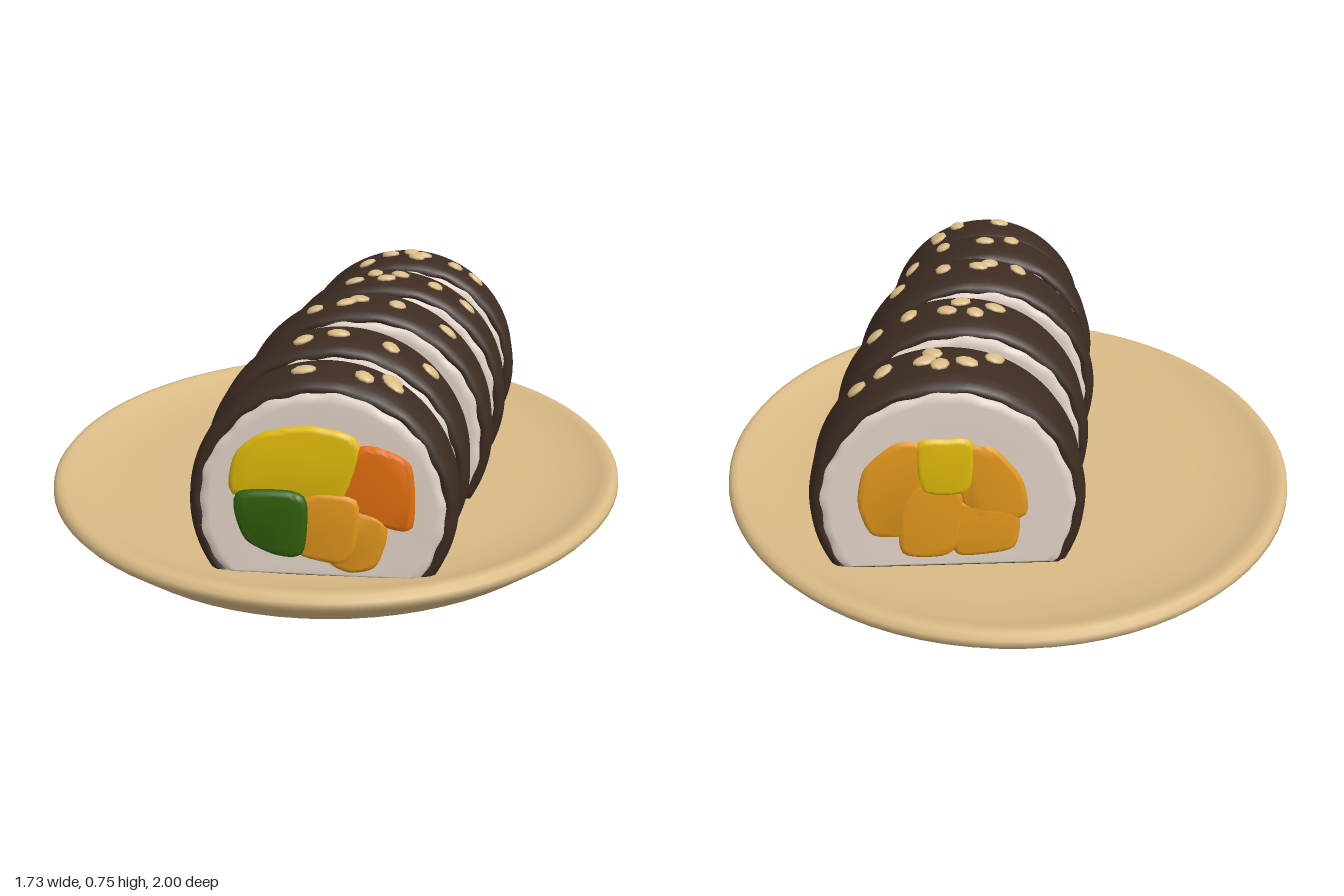
import * as THREE from 'three';
import { toCreasedNormals } from 'three/addons/utils/BufferGeometryUtils.js';

const mat = (name, color) => {
  const m = new THREE.MeshStandardMaterial({ color });
  m.name = name;
  return m;
};

const FLOOR = 0.172; // height of the plate's inner surface

// Flat-bottomed round cross-sections joined from +z to -z; each profile entry is [inset, z, wobble]
function loft(R, drop, profile, capped, phase) {
  const n = 120, pos = [], idx = [];
  for (const [inset, z, wobble = 0] of profile) {
    for (let j = 0; j < n; j++) {
      const a = (j / n) * Math.PI * 2;
      const w = wobble * (Math.sin(a * 9 + phase) + 0.7 * Math.sin(a * 23 + phase * 3));
      const r = R - inset + w;
      pos.push(r * Math.cos(a), Math.max(r * Math.sin(a), -drop + inset * 0.3), z);
    }
  }
  const rings = profile.length;
  for (let i = 0; i < rings - 1; i++) {
    for (let j = 0; j < n; j++) {
      const a = i * n + j, b = i * n + (j + 1) % n, c = a + n, d = b + n;
      idx.push(a, c, b, b, c, d);
    }
  }
  if (capped) {
    const front = pos.length / 3, back = front + 1, last = (rings - 1) * n;
    pos.push(0, 0.03, profile[0][1], 0, 0.03, profile[rings - 1][1]);
    for (let j = 0; j < n; j++) {
      const k = (j + 1) % n;
      idx.push(front, j, k, back, last + k, last + j);
    }
  }
  const g = new THREE.BufferGeometry();
  g.setAttribute('position', new THREE.Float32BufferAttribute(pos, 3));
  g.setIndex(idx);
  g.computeVertexNormals();
  return g;
}

const mirrored = (half) => [...half, ...half.slice().reverse().map(([d, z, w]) => [d, -z, w])];

// Soft-edged strip of filling running from z0 to z1
function strip(name, points, z0, z1, material) {
  const b = 0.014;
  const curve = new THREE.CatmullRomCurve3(
    points.map(([x, y]) => new THREE.Vector3(x, y, 0)), true, 'catmullrom', 0.35);
  const shape = new THREE.Shape(curve.getPoints(36).slice(0, -1).map((p) => new THREE.Vector2(p.x, p.y)));
  const g = new THREE.ExtrudeGeometry(shape, {
    depth: z1 - z0 - 2 * b, bevelEnabled: true, bevelSize: b, bevelThickness: b,
    bevelOffset: -b * 0.4, bevelSegments: 3, steps: 1
  });
  g.translate(0, 0, z0 + b);
  const mesh = new THREE.Mesh(toCreasedNormals(g, 0.8), material);
  mesh.name = name;
  return mesh;
}

// Filling outlines, relative to the roll centre: name, colour, bulge, points
const MIXED = [
  ['yellowFilling', 'yellow', 0.01, [[-0.215, 0.045], [-0.205, 0.14], [-0.14, 0.195], [-0.03, 0.215], [0.07, 0.195], [0.09, 0.15], [0.045, 0.03], [-0.07, 0.04]]],
  ['orangeFilling', 'orange', 0.008, [[0.03, 0.05], [0.09, 0.16], [0.14, 0.165], [0.215, 0.125], [0.22, -0.03], [0.14, -0.02]]],
  ['greenFilling', 'green', 0.03, [[-0.205, 0], [-0.195, 0.045], [-0.08, 0.05], [-0.04, 0.025], [-0.05, -0.1], [-0.11, -0.105], [-0.18, -0.07]]],
  ['lowerFilling', 'amber', 0.015, [[-0.065, 0.02], [0.0, 0.045], [0.085, 0.03], [0.085, -0.08], [0.05, -0.13], [-0.05, -0.11], [-0.07, -0.05]]],
  ['lowerSideFilling', 'amber', 0.01, [[0.075, 0.0], [0.15, -0.02], [0.155, -0.07], [0.13, -0.14], [0.07, -0.155], [0.02, -0.12]]]
];
const PLAIN = [
  ['yellowFilling', 'yellow', 0.008, [[-0.05, 0.06], [-0.06, 0.19], [0.0, 0.2], [0.07, 0.19], [0.06, 0.06]]],
  ['leftFilling', 'amber', 0.004, [[0.05, 0.02], [0.06, 0.18], [0.13, 0.19], [0.21, 0.12], [0.23, 0.02], [0.2, -0.07], [0.11, -0.07]]],
  ['rightFilling', 'amber', 0.004, [[-0.04, 0.03], [-0.05, 0.17], [-0.12, 0.17], [-0.19, 0.08], [-0.2, -0.02], [-0.1, -0.04]]],
  ['lowerFilling', 'amber', 0.006, [[-0.03, 0.05], [0.07, 0.07], [0.12, 0.0], [0.12, -0.13], [0.02, -0.14], [-0.02, -0.1]]],
  ['lowerSideFilling', 'amber', 0.004, [[-0.02, 0.01], [-0.1, 0.0], [-0.18, -0.02], [-0.17, -0.12], [-0.08, -0.14], [-0.02, -0.13]]]
];
// Wide outer piece, seen at the edges of the fourth roll
const WIDE = [[0.18, -0.04], [0.18, 0.15], [0.24, 0.165], [0.29, 0.08], [0.29, -0.02], [0.24, -0.06]];

// Centre x, centre z, radius, half depth, extra front bulge of fillings, seed positions [x, z]
const ROLLS = [
  [0.04, 0.715, 0.34, 0.108, 0, [[-0.01, 0.74], [0.14, 0.745], [0.205, 0.685], [0.21, 0.715]]],
  [0.05, 0.467, 0.358, 0.118, 0, [[-0.04, 0.51], [0.05, 0.48], [0.19, 0.5], [0.295, 0.48]]],
  [0.095, 0.17, 0.378, 0.13, 0.008, [[-0.045, 0.21], [0.045, 0.21], [0.08, 0.18], [0.19, 0.19], [0.335, 0.195]]],
  [0.145, -0.16, 0.374, 0.13, 0.008, [[0.04, -0.125], [0.1, -0.185], [0.14, -0.11], [0.18, -0.17], [0.29, -0.14], [0.39, -0.14]]],
  [0.187, -0.507, 0.37, 0.13, 0.006, [[0.055, -0.45], [0.13, -0.51], [0.2, -0.53], [0.24, -0.5], [0.22, -0.46], [0.35, -0.49], [0.42, -0.5]]]
];

export function createModel() {
  const mats = {
    plate: mat('plateTan', 0xdabb86),
    seaweed: mat('seaweedBrown', 0x3d2c22),
    rice: mat('riceWhite', 0xe6d7cb),
    seed: mat('seedBeige', 0xdcbe88),
    yellow: mat('yellow', 0xe2bc0a),
    orange: mat('orange', 0xe67010),
    green: mat('green', 0x325f0c),
    amber: mat('amber', 0xe4981c)
  };
  const model = new THREE.Group();
  model.name = 'rollPlatter';

  // Oval plate with a shallow dish
  const outline = [[0, 0], [0.54, 0], [0.552, 0.002], [0.87, 0.087], [0.89, 0.098], [0.985, 0.168],
    [1, 0.185], [0.998, 0.2], [0.985, 0.213], [0.965, 0.215], [0.94, 0.207], [0.88, 0.188],
    [0.78, 0.176], [0.65, FLOOR], [0, FLOOR]];
  const plate = new THREE.Mesh(
    new THREE.LatheGeometry(outline.map(([x, y]) => new THREE.Vector2(x, y)), 80), mats.plate);
  plate.name = 'plate';
  plate.scale.x = 0.865;
  model.add(plate);

  const seedGeometry = new THREE.SphereGeometry(1, 8, 5);
  const cy = 0.36;

  ROLLS.forEach(([cx, cz, R, w, bulge, seeds], i) => {
    const roll = new THREE.Group();
    roll.name = `roll${i + 1}`;
    roll.position.set(cx, cy, cz);
    model.add(roll);
    const add = (name, geometry, material) => {
      const mesh = new THREE.Mesh(geometry, material);
      mesh.name = name;
      roll.add(mesh);
      return mesh;
    };

    // Seaweed wrap with rounded, slightly ragged edges
    const wrap = mirrored([[0.055, w - 0.025], [0.034, w - 0.009, 0.004], [0.02, w - 0.01, 0.001],
      [0.007, w - 0.025], [0, w - 0.06]]);
    add('seaweedWrap', loft(R, cy - FLOOR, wrap, false, i), mats.seaweed);

    // Rice core, just proud of the wrap
    const core = mirrored([[0.12, w - 0.004], [0.06, w], [0.04, w - 0.004, 0.004], [0.032, w - 0.014, 0.003]]);
    add('riceCore', loft(R, cy - FLOOR, core, true, i + 2), mats.rice);

    // Fillings; the front roll shows a mixed set on its front face
    const place = (list, front, back) => list.forEach(([name, color, out, pts]) =>
      roll.add(strip(name, pts, back ? -w - out : 0, front ? w + out + bulge : 0, mats[color])));
    if (i === 0) {
      place(MIXED, true, false);
      place(PLAIN, false, true);
    } else {
      place(PLAIN, true, true);
    }
    if (i === 3) {
      roll.add(strip('outerLeftFilling', WIDE, 0, w + 0.012, mats.amber));
      roll.add(strip('outerRightFilling', WIDE.map(([x, y]) => [-x, y]).reverse(), -w - 0.004, 0, mats.amber));
    }

    // Sesame seeds lying on the wrap
    seeds.forEach(([x, z], k) => {
      const dx = x - cx;
      const seed = add('sesameSeed', seedGeometry, mats.seed);
      seed.position.set(dx, Math.sqrt(R * R - dx * dx) + 0.002, z - cz);
      seed.rotation.set(0, k * 1.9 + i, -Math.asin(dx / R), 'ZYX');
      seed.scale.set(0.033, 0.011, 0.026);
    });
  });
  return model;
}
